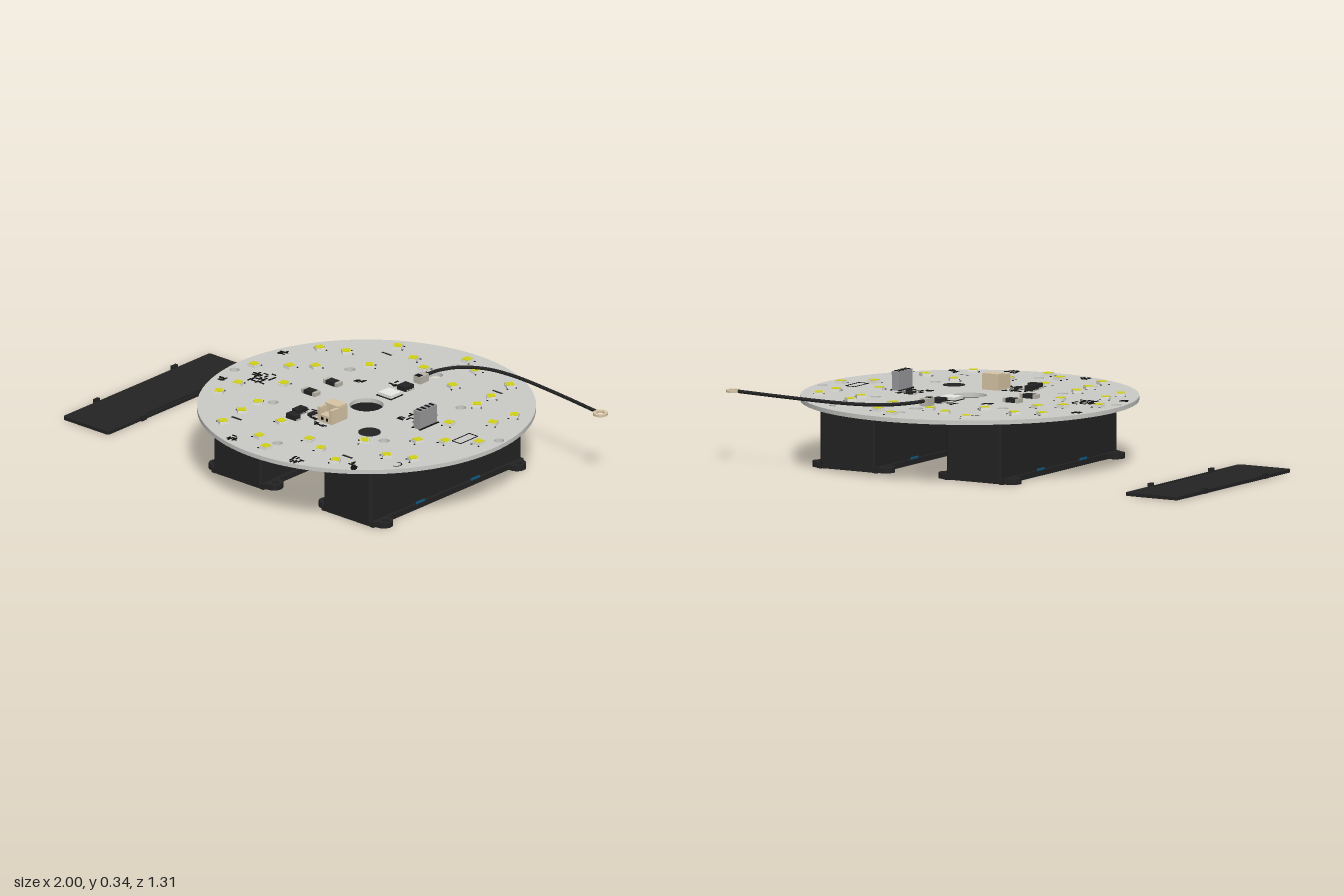
import * as THREE from 'three';

const mat = (name, color, side = THREE.FrontSide) => {
  const m = new THREE.MeshStandardMaterial({ color, side });
  m.name = name;
  return m;
};

export function createModel() {
  const root = new THREE.Group();
  root.name = 'lampBoardWithBatteryBoxes';
  const black = mat('black plastic', 0x232323);
  const ink = mat('black ink', 0x111111);
  const boardGrey = mat('board grey', 0xcacac7);
  const white = mat('white', 0xeeeeea);
  const yellow = mat('yellow phosphor', 0xd2d216);
  const beige = mat('beige', 0xd6c5a4);
  const grey = mat('grey', 0x98989a);
  const blue = mat('blue cell', 0x0c5c88);
  const metal = mat('metal', 0xb8b4aa);

  const CX = 0.205, R = 0.655, BOTTOM = 0.245, TOP = 0.262;

  const add = (name, geo, material, x = 0, y = 0, z = 0, parent = root) => {
    const m = new THREE.Mesh(geo, material);
    m.name = name;
    m.position.set(x, y, z);
    parent.add(m);
    return m;
  };
  const box = (name, material, w, h, d, x, y, z, parent) =>
    add(name, new THREE.BoxGeometry(w, h, d), material, x, y, z, parent);
  // Box standing on the board
  const onBoard = (name, material, w, h, d, x, z, lift = 0) =>
    box(name, material, w, h, d, x, TOP + lift + h / 2, z);
  // Flat outline in x and z, extruded between two heights
  const slab = (shape, y0, y1) => {
    const g = new THREE.ExtrudeGeometry(shape, { depth: y1 - y0, bevelEnabled: false, curveSegments: 48 });
    g.rotateX(Math.PI / 2);
    g.translate(0, y1, 0);
    return g;
  };
  const poly = (pts, Type = THREE.Shape) => new Type(pts.map(([x, y]) => new THREE.Vector2(x, y)));
  const rect = (x0, x1, z0, z1, Type) => poly([[x0, z0], [x1, z0], [x1, z1], [x0, z1]], Type);
  const chamfered = (w, d, c) => poly([
    [-w + c, -d], [w - c, -d], [w, -d + c], [w, d - c], [w - c, d], [-w + c, d], [-w, d - c], [-w, -d + c]]);

  // Round circuit board with mounting holes and slots
  const disc = new THREE.Shape().absarc(CX, 0, R, 0, Math.PI * 2);
  const round = (x, z, r) => disc.holes.push(new THREE.Path().absarc(x, z, r, 0, Math.PI * 2, true));
  round(CX, 0, 0.066);
  [[CX, -0.515, 0.02], [CX, -0.4, 0.028], [CX, 0.515, 0.02], [-0.41, 0.078, 0.02], [0.825, -0.075, 0.02],
    [0.395, 0.195, 0.045]].forEach((h) => round(...h));
  for (const x of [-0.08, 0.495]) for (const s of [-1, 1]) {
    round(x, s * 0.222, 0.021);
    disc.holes.push(rect(x - 0.027, x + 0.027, s * 0.435 - 0.007, s * 0.435 + 0.007, THREE.Path));
    box('slotPin', black, 0.05, 0.016, 0.012, x, 0.253, s * 0.433);
  }
  add('circuitBoard', slab(disc, BOTTOM, TOP), boardGrey);
  add('roundSensor', new THREE.CylinderGeometry(0.043, 0.043, 0.018, 24), black, 0.395, 0.254, 0.195);

  // LEDs: an outer ring of twelve and scattered inner ones
  const leds = [];
  for (let i = 0; i < 12; i++) {
    const a = i * Math.PI / 6;
    leds.push([CX + 0.583 * Math.cos(a), 0.583 * Math.sin(a)]);
  }
  leds.push([0.04, -0.455], [0.135, -0.41], [0.3, -0.525], [0.335, -0.355], [0.52, -0.37], [0.53, -0.275],
    [0.7, -0.18], [-0.2, -0.335], [-0.04, -0.29], [-0.19, -0.145], [-0.265, -0.08], [-0.165, 0.065],
    [-0.3, 0.18], [-0.115, 0.27], [-0.105, 0.375], [0.08, 0.355], [0.115, 0.52], [0.28, 0.415],
    [0.375, 0.455], [0.61, 0.335], [0.45, 0.285], [0.6, 0.145], [0.685, 0.08], [0.575, -0.065]);
  leds.forEach(([x, z]) => {
    const led = new THREE.Group();
    led.name = 'led';
    led.position.set(x, TOP, z);
    led.rotation.y = -Math.atan2(z, x - CX);
    box('ledBody', white, 0.036, 0.011, 0.036, 0, 0.0055, 0, led);
    box('ledLens', yellow, 0.032, 0.002, 0.032, 0, 0.012, 0, led);
    for (const s of [-1, 1]) box('ledPadMark', ink, 0.006, 0.002, 0.006, s * 0.018, 0.001, 0.023, led);
    root.add(led);
  });

  // Beige socket with pins passing through the board
  onBoard('socketBase', beige, 0.07, 0.03, 0.09, 0.205, 0.197);
  onBoard('socketBack', beige, 0.07, 0.034, 0.05, 0.205, 0.177, 0.03);
  for (const s of [-1, 1]) {
    onBoard('socketCheek', beige, 0.014, 0.058, 0.09, 0.205 + s * 0.03, 0.197);
    box('socketPin', metal, 0.007, 0.075, 0.007, 0.205 + s * 0.014, 0.225, 0.17);
    onBoard('socketContact', ink, 0.01, 0.012, 0.003, 0.205 + s * 0.012, 0.242, 0.009);
  }

  // Upright grey switch block
  onBoard('switchBlock', grey, 0.032, 0.075, 0.1, 0.51, 0);
  for (let i = 0; i < 4; i++) onBoard('switchSlot', ink, 0.024, 0.002, 0.01, 0.51, -0.036 + i * 0.024, 0.075);
  for (const s of [-1, 1]) onBoard('switchFoot', ink, 0.008, 0.003, 0.11, 0.51 + s * 0.019, 0);

  // Small parts: x, z, width, depth, height
  [[0.21, -0.22, 0.045, 0.05, 0.018], [0.065, 0.23, 0.035, 0.05, 0.02], [0.085, 0.29, 0.05, 0.03, 0.02],
    [0.12, 0.22, 0.02, 0.03, 0.012], [0.415, -0.09, 0.03, 0.03, 0.01], [0.455, -0.035, 0.025, 0.02, 0.01]]
    .forEach(([x, z, w, d, h]) => {
      onBoard('chip', black, w, h, d, x, z);
      for (let i = -1; i <= 1; i++) onBoard('chipLegs', metal, w + 0.012, 0.005, 0.006, x, z + i * d * 0.33);
    });
  for (const z of [-0.068, 0.06]) {
    onBoard('resistor', black, 0.045, 0.016, 0.034, -0.03, z);
    for (const s of [-1, 1]) onBoard('resistorEnd', metal, 0.014, 0.016, 0.034, -0.03 + s * 0.029, z);
  }
  onBoard('relayOutline', ink, 0.078, 0.002, 0.072, 0.207, -0.132);
  onBoard('relay', white, 0.066, 0.014, 0.06, 0.207, -0.132);

  // Abstract printed marks and tiny pads
  let seed = 7;
  const rnd = () => (seed = (seed * 16807) % 2147483647) / 2147483647 - 0.5;
  [[-0.28, 0.065, 0.1, 0.11, 26], [0.43, -0.04, 0.09, 0.13, 20], [0.1, 0.2, 0.12, 0.08, 14],
    [0.03, -0.16, 0.05, 0.05, 6], [0.15, -0.23, 0.03, 0.04, 5], [0.37, 0.595, 0.05, 0.04, 9],
    [0.58, 0.49, 0.05, 0.05, 12], [0.04, 0.59, 0.04, 0.04, 8], [-0.37, 0.18, 0.05, 0.03, 6],
    [-0.38, -0.17, 0.03, 0.03, 6], [0.205, 0.27, 0.06, 0.02, 6]].forEach(([x, z, w, d, n]) => {
    for (let i = 0; i < n; i++) {
      const long = rnd() > 0;
      onBoard('printedMark', ink, long ? 0.022 : 0.007, 0.002, long ? 0.006 : 0.02, x + rnd() * w, z + rnd() * d);
    }
  });
  for (const s of [-1, 1]) {
    onBoard('printedFrame', ink, 0.045, 0.002, 0.003, 0.715, s * 0.05);
    onBoard('printedFrame', ink, 0.003, 0.002, 0.1, 0.715 + s * 0.022, 0);
  }
  const arc = add('printedArc', new THREE.RingGeometry(0.019, 0.024, 20, 1, -1.5, 3.6), ink, 0.69, TOP + 0.002, 0.37);
  arc.rotation.x = -Math.PI / 2;

  // Wire with plug and ring terminal
  onBoard('wirePlug', metal, 0.036, 0.03, 0.05, 0.207, -0.315);
  onBoard('wirePlugTop', ink, 0.024, 0.002, 0.02, 0.207, -0.3, 0.03);
  const path = new THREE.CatmullRomCurve3([[0.207, 0.282, -0.33], [0.215, 0.284, -0.4], [0.26, 0.284, -0.485],
    [0.35, 0.284, -0.54], [0.48, 0.284, -0.555], [0.7, 0.284, -0.537], [0.945, 0.284, -0.504]]
    .map((p) => new THREE.Vector3(...p)));
  add('wire', new THREE.TubeGeometry(path, 60, 0.007, 8), black);
  const eyelet = new THREE.Shape().absarc(0.97, -0.5, 0.029, 0, Math.PI * 2);
  eyelet.holes.push(new THREE.Path().absarc(0.97, -0.5, 0.016, 0, Math.PI * 2, true));
  add('ringTerminal', slab(eyelet, 0.279, 0.288), beige);

  // Snap-on cover: plate with a notched edge, thin lip and clips
  const cover = (x) => {
    const g = new THREE.Group();
    g.name = 'batteryCover';
    g.position.x = x;
    const plate = poly([[-0.11, -0.425], [0.11, -0.425], [0.118, -0.417], [0.118, -0.225], [0.098, -0.225],
      [0.098, 0.225], [0.118, 0.225], [0.118, 0.417], [0.11, 0.425], [-0.11, 0.425], [-0.118, 0.417], [-0.118, -0.417]]);
    add('coverPlate', slab(plate, 0, 0.013), black, 0, 0, 0, g);
    box('coverLip', black, 0.007, 0.013, 0.46, 0.1145, 0.0065, 0, g);
    for (const sx of [-1, 1]) for (const sz of [-1, 1])
      box('coverClip', black, 0.012, 0.022, 0.028, sx * 0.122, 0.013, sz * 0.225, g);
    root.add(g);
  };
  cover(-0.872);
  cover(0.495);

  // Battery boxes, open underneath, with side tabs and a blue cell inside
  for (const x of [-0.075, 0.495]) {
    const g = new THREE.Group();
    g.name = 'batteryBox';
    g.position.x = x;
    const wall = chamfered(0.123, 0.437, 0.008);
    wall.holes.push(rect(-0.1, 0.1, -0.4, 0.4, THREE.Path));
    add('boxWalls', slab(wall, 0.002, 0.225), black, 0, 0, 0, g);
    add('boxRoof', slab(chamfered(0.123, 0.437, 0.008), 0.225, BOTTOM), black, 0, 0, 0, g);
    add('cell', new THREE.CylinderGeometry(0.095, 0.095, 0.74, 32).rotateX(Math.PI / 2), blue, 0, 0.115, 0, g);
    for (const s of [-1, 1]) {
      box('cellEndSpring', metal, 0.06, 0.06, 0.028, 0, 0.115, s * 0.385, g);
      box('boxRim', black, 0.018, 0.022, 0.87, s * 0.126, 0.011, 0, g);
      for (const z of [-0.385, 0.385]) {
        // Rounded screw tab with a hole
        const tab = new THREE.Shape();
        tab.moveTo(s * 0.11, z - s * 0.045);
        tab.lineTo(s * 0.145, z - s * 0.036);
        tab.absarc(s * 0.145, z, 0.036, s > 0 ? -Math.PI / 2 : Math.PI / 2, s > 0 ? Math.PI / 2 : Math.PI * 1.5);
        tab.lineTo(s * 0.11, z + s * 0.045);
        tab.holes.push(new THREE.Path().absarc(s * 0.153, z, 0.014, 0, Math.PI * 2, true));
        add('screwTab', slab(tab, 0, 0.022), black, 0, 0, 0, g);
      }
      for (const z of [-0.155, 0.162]) {
        box('clipLoop', black, 0.012, 0.016, 0.07, s * 0.13, 0.01, z, g);
        box('clipWindow', blue, 0.005, 0.008, 0.048, s * 0.1345, 0.026, z, g);
      }
    }
    root.add(g);
  }
  return root;
}
